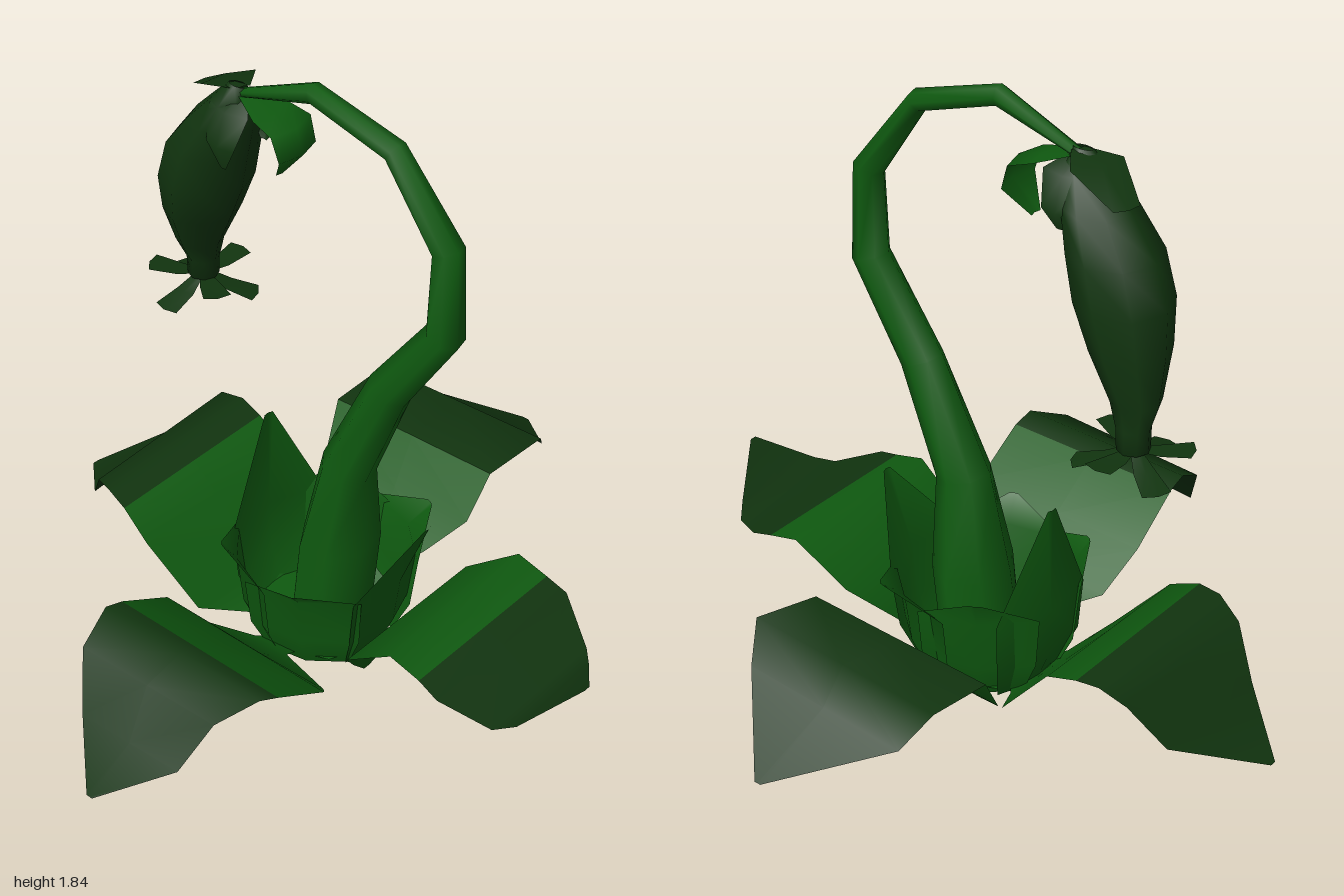
import * as THREE from 'three';

const green = new THREE.MeshStandardMaterial({ color: 0x0f5a10, side: THREE.DoubleSide });
green.name = 'leaf green';
const dark = new THREE.MeshStandardMaterial({ color: 0x11340f, side: THREE.DoubleSide });
dark.name = 'dark green';

// Skin a list of rows of points; closed rows wrap round
function loft(name, rows, material, closed = false) {
  const n = rows[0].length, index = [];
  for (let i = 0; i < rows.length - 1; i++) {
    for (let j = 0; j < (closed ? n : n - 1); j++) {
      const k = (j + 1) % n, a = i * n + j, b = i * n + k;
      index.push(a, a + n, b, b, a + n, b + n);
    }
  }
  const g = new THREE.BufferGeometry();
  g.setAttribute('position', new THREE.Float32BufferAttribute(rows.flat(2), 3));
  g.setIndex(index);
  g.computeVertexNormals();
  const mesh = new THREE.Mesh(g, material);
  mesh.name = name;
  return mesh;
}

// Large leaf: rows [distance out, low y, high y, side from, side to], green inside and dark outside the fold
function bigLeaf(name, rows, fold, place) {
  const points = rows.map(([d, y0, y1, s0, s1]) => [0, 0.5, 1].map((t) => {
    const [x, z] = place(d, s0 + (s1 - s0) * t);
    return [x, y0 + (y1 - y0) * t, z];
  }));
  const leaf = new THREE.Group();
  leaf.name = name;
  leaf.add(loft(name + 'Inner', points.slice(0, fold + 1), green), loft(name + 'Outer', points.slice(fold), dark));
  return leaf;
}

// Small blade growing from a centre: rows [radius, y, half width]
function blade(name, [cx, cy, cz], angle, rows, material) {
  const c = Math.cos(angle), s = Math.sin(angle);
  return loft(name, rows.map(([r, y, w]) => [-1, 0, 1].map((t) => {
    const out = r - Math.abs(t) * w * 0.25;
    return [cx + out * s + t * w * c, cy + y, cz + out * c - t * w * s];
  })), material);
}

export function createModel() {
  const plant = new THREE.Group();
  plant.name = 'plant';

  // Four spreading leaves
  plant.add(
    bigLeaf('frontLeaf', [
      [0.18, 0.01, 0.01, -0.01, 0.01], [0.25, 0.16, 0.16, -0.14, 0.14], [0.32, 0.3, 0.3, -0.25, 0.27],
      [0.48, 0.42, 0.42, -0.26, 0.3], [0.58, 0.395, 0.395, -0.26, 0.3], [0.65, 0.375, 0.375, -0.27, 0.3],
      [0.79, 0.315, 0.315, -0.21, 0.21], [0.84, 0.33, 0.33, -0.17, 0.15], [0.95, 0.43, 0.43, -0.03, -0.01],
    ], 4, (d, s) => [s, d]),
    bigLeaf('backLeaf', [
      [0.08, 0.05, 0.05, -0.03, 0.03], [0.18, 0.09, 0.1, -0.12, 0.15], [0.25, 0.15, 0.16, -0.25, 0.28],
      [0.41, 0.33, 0.35, -0.29, 0.29], [0.52, 0.39, 0.4, -0.27, 0.31], [0.6, 0.4, 0.42, -0.25, 0.32],
      [0.69, 0.37, 0.4, -0.21, 0.32], [0.78, 0.24, 0.27, -0.15, 0.26], [0.96, 0.16, 0.16, 0.01, 0.03],
    ], 4, (d, s) => [s, -d]),
    bigLeaf('rightLeaf', [
      [0.15, 0.1, 0.1, -0.05, 0.05], [0.21, 0.13, 0.13, -0.06, 0.06], [0.3, 0.18, 0.2, -0.17, 0.28],
      [0.4, 0.31, 0.32, -0.22, 0.37], [0.58, 0.42, 0.43, -0.21, 0.37], [0.64, 0.44, 0.455, -0.21, 0.36],
      [0.75, 0.38, 0.41, -0.19, 0.3], [0.83, 0.23, 0.26, -0.12, 0.24], [1, 0.19, 0.19, 0.07, 0.09],
    ], 4, (d, s) => [-d, s]),
    bigLeaf('leftLeaf', [
      [0.15, 0.1, 0.1, -0.05, 0.05], [0.24, 0.15, 0.15, -0.1, 0.06], [0.32, 0.2, 0.22, -0.21, 0.13],
      [0.41, 0.29, 0.32, -0.34, 0.21], [0.5, 0.43, 0.45, -0.37, 0.22], [0.7, 0.45, 0.48, -0.36, 0.25],
      [0.78, 0.36, 0.39, -0.31, 0.2], [1, 0.25, 0.25, -0.03, -0.01],
    ], 4, (d, s) => [d, s]),
  );

  // Upright blades forming a cup round the stem: angle, tip height, tip radius
  const collar = new THREE.Group();
  collar.name = 'collar';
  [[0.1, 0.59, 0.35], [1.1, 0.42, 0.33], [2.1, 0.44, 0.28], [3.0, 0.69, 0.25], [4.1, 0.42, 0.3], [5.15, 0.43, 0.32]]
    .forEach(([angle, h, r]) => collar.add(blade('collarBlade', [0.02, 0, 0], angle, [
      [0.19, 0.08, 0.12], [0.24, 0.2, 0.16], [0.22 + r * 0.12, 0.36, 0.17], [r, h, 0.015],
    ], green)));
  plant.add(collar);

  // Shallow dish under the cup
  const dish = new THREE.Mesh(new THREE.CylinderGeometry(0.21, 0.09, 0.05, 8), green);
  dish.name = 'dish';
  dish.position.set(0.02, 0.085, 0);
  plant.add(dish);

  // Hooked stem: [x, y, z, half width, half depth, tilt of section in the yz plane]
  const stem = [
    [0.04, 0.08, 0, 0.12, 0.12, 0], [0.05, 0.4, 0.03, 0.13, 0.11, 0], [0.04, 0.68, 0.07, 0.08, 0.08, 0.2],
    [0.05, 1.0, 0.205, 0.06, 0.065, 0.4], [0.045, 1.26, 0.385, 0.055, 0.055, 0.3], [0.04, 1.52, 0.388, 0.045, 0.045, -0.3],
    [0.025, 1.745, 0.225, 0.035, 0.032, -1], [0.01, 1.82, -0.03, 0.03, 0.03, -1.6], [0.01, 1.73, -0.28, 0.018, 0.012, -1.95],
  ];
  plant.add(loft('stem', stem.map(([x, y, z, w, d, tilt]) => Array.from({ length: 7 }, (_, i) => {
    const a = (i / 7) * Math.PI * 2, v = d * Math.sin(a);
    return [x + w * Math.cos(a), y - v * Math.sin(tilt), z + v * Math.cos(tilt)];
  })), green, true));

  // Hanging bud: [x, y, z, half width, half depth]
  const bud = [
    [0.01, 1.75, -0.29, 0.015, 0.03], [0.015, 1.7, -0.31, 0.06, 0.065], [0.03, 1.62, -0.36, 0.1, 0.1],
    [0.045, 1.52, -0.42, 0.13, 0.125], [0.05, 1.4, -0.455, 0.135, 0.13], [0.065, 1.28, -0.49, 0.115, 0.105],
    [0.085, 1.15, -0.525, 0.068, 0.068], [0.1, 1.08, -0.53, 0.045, 0.048], [0.105, 1.02, -0.535, 0.045, 0.045], [0.105, 1.01, -0.535, 0.002, 0.002],
  ];
  plant.add(loft('bud', bud.map(([x, y, z, w, d]) => Array.from({ length: 8 }, (_, i) => {
    const a = (i / 8) * Math.PI * 2;
    return [x + w * Math.cos(a), y, z + d * Math.sin(a)];
  })), dark, true));

  // Ring of little petals at the mouth of the bud
  for (let i = 0; i < 6; i++) {
    plant.add(blade('mouthPetal', [0.105, 1.01, -0.535], 0.5 + i * Math.PI / 3, [
      [0.02, 0.01, 0.015], [0.08, i % 2 ? 0.01 : -0.02, 0.03], [0.16, i % 2 ? 0.02 : -0.04, 0.04],
    ], dark));
  }

  // Sepals where stem and bud meet, the front one curling forward
  const top = [0.015, 1.735, -0.28];
  plant.add(
    blade('frontSepal', top, 0.05, [[0, 0, 0.02], [0.11, -0.03, 0.07], [0.18, -0.05, 0.08], [0.2, -0.12, 0.075], [0.13, -0.2, 0.02]], green),
    blade('backSepal', top, 2.8, [[0, 0.01, 0.02], [0.1, 0.0, 0.08], [0.22, -0.07, 0.04]], dark),
    blade('leftSepal', top, 1.6, [[0, 0, 0.02], [0.07, -0.04, 0.07], [0.1, -0.13, 0.05], [0.08, -0.18, 0.01]], dark),
    blade('rightSepal', top, -1.6, [[0, 0, 0.02], [0.07, -0.04, 0.07], [0.1, -0.13, 0.05], [0.08, -0.2, 0.01]], dark),
  );
  return plant;
}
